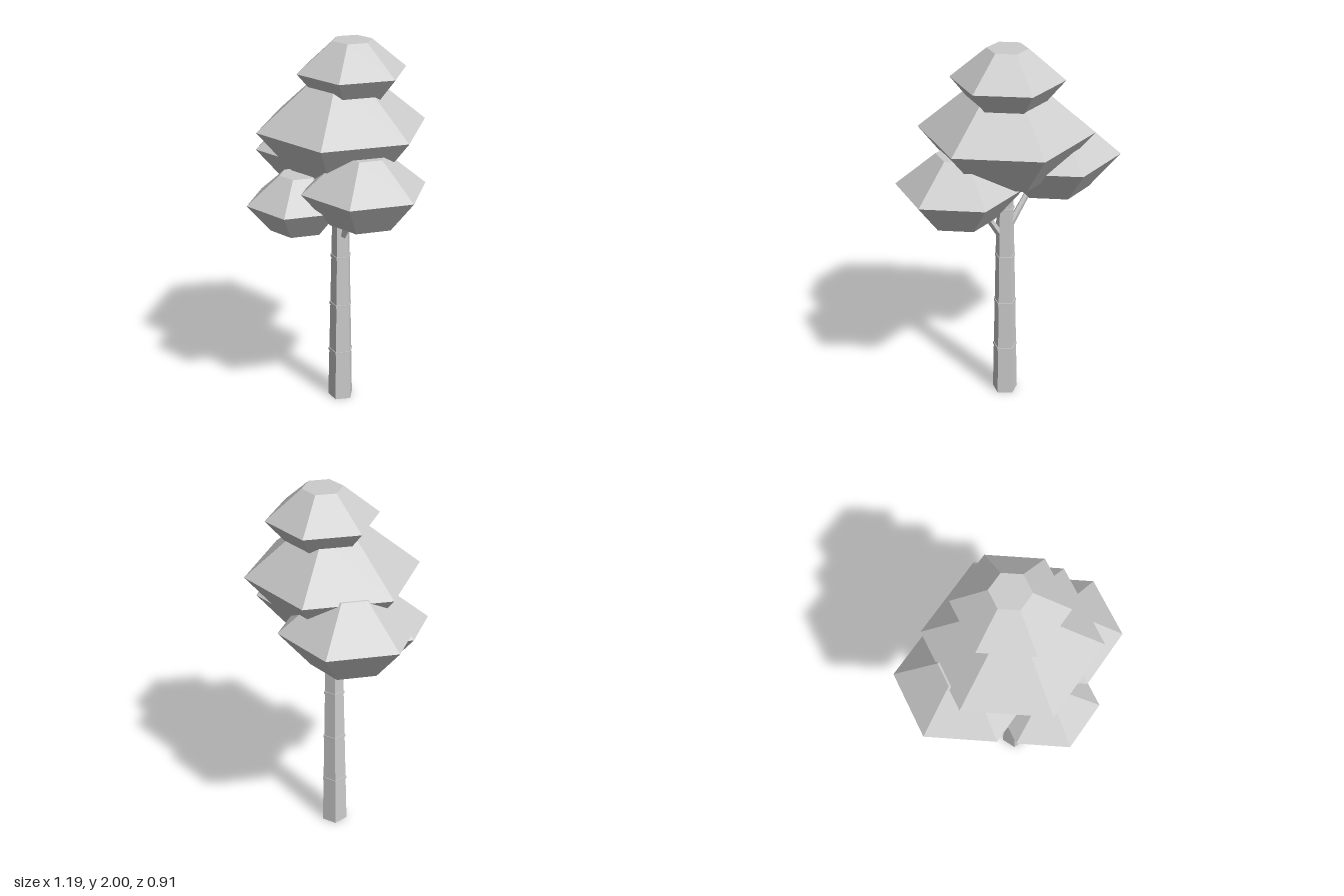
import * as THREE from 'three';

const paleGrey = new THREE.MeshStandardMaterial({ color: 0xcccccc, flatShading: true });
paleGrey.name = 'paleGrey';

const TRUNK_X = 0.015, TRUNK_Z = -0.03, TRUNK_TOP = 1.25;
const trunkRadius = (y) => 0.07 - 0.021 * y;

function addMesh(parent, name, geometry) {
  const mesh = new THREE.Mesh(geometry, paleGrey);
  mesh.name = name;
  parent.add(mesh);
  return mesh;
}

// Six-sided leaf clump: flat cap, wide middle, flat underside
function addFoliage(parent, name, r, x, y, z) {
  const h = 0.54 * r;
  const profile = [[0, -h], [0.55 * r, -h], [r, 0], [0.36 * r, h], [0, h]]
    .map(([px, py]) => new THREE.Vector2(px, py));
  const mesh = addMesh(parent, name, new THREE.LatheGeometry(profile, 6, Math.PI / 6));
  mesh.position.set(x, y, z);
}

// Five-sided upright section with one corner towards +x
function addPentagon(parent, name, rTop, rBottom, y0, y1) {
  const geometry = new THREE.CylinderGeometry(rTop, rBottom, y1 - y0, 5, 1, false, Math.PI / 10);
  addMesh(parent, name, geometry).position.set(TRUNK_X, (y0 + y1) / 2, TRUNK_Z);
}

// Tapered branch between two points
function addBranch(parent, name, from, to) {
  const a = new THREE.Vector3(...from), b = new THREE.Vector3(...to);
  const mesh = addMesh(parent, name, new THREE.CylinderGeometry(0.014, 0.02, a.distanceTo(b), 5));
  mesh.position.copy(a).add(b).multiplyScalar(0.5);
  mesh.quaternion.setFromUnitVectors(new THREE.Vector3(0, 1, 0), b.sub(a).normalize());
}

export function createModel() {
  const tree = new THREE.Group();
  tree.name = 'tree';

  // Trunk with slightly raised joints
  const trunk = new THREE.Group();
  trunk.name = 'trunk';
  tree.add(trunk);
  addPentagon(trunk, 'trunkStem', trunkRadius(TRUNK_TOP), trunkRadius(0), 0, TRUNK_TOP);
  for (let i = 1; i <= 4; i++) {
    const y = i * 0.278;
    const r = trunkRadius(y) + 0.004;
    addPentagon(trunk, 'trunkJoint' + i, r, r, y - 0.008, y + 0.008);
  }

  // Branches holding the lower clumps
  addBranch(tree, 'leftBranch', [0.04, 0.96, -0.02], [0.2, 1.22, 0.03]);
  addBranch(tree, 'rightBranch', [-0.005, 1.01, -0.045], [-0.14, 1.24, -0.11]);
  addBranch(tree, 'frontBranch', [0.0, 1.04, -0.01], [-0.03, 1.2, 0.1]);

  // Foliage
  addFoliage(tree, 'crownFoliage', 0.288, 0.05, 1.845, -0.07);
  addFoliage(tree, 'mainFoliage', 0.45, 0.015, 1.555, -0.035);
  addFoliage(tree, 'rightFoliage', 0.36, -0.237, 1.375, -0.145);
  addFoliage(tree, 'leftFoliage', 0.326, 0.267, 1.305, 0.073);
  addFoliage(tree, 'frontFoliage', 0.27, -0.055, 1.195, 0.217);
  return tree;
}
